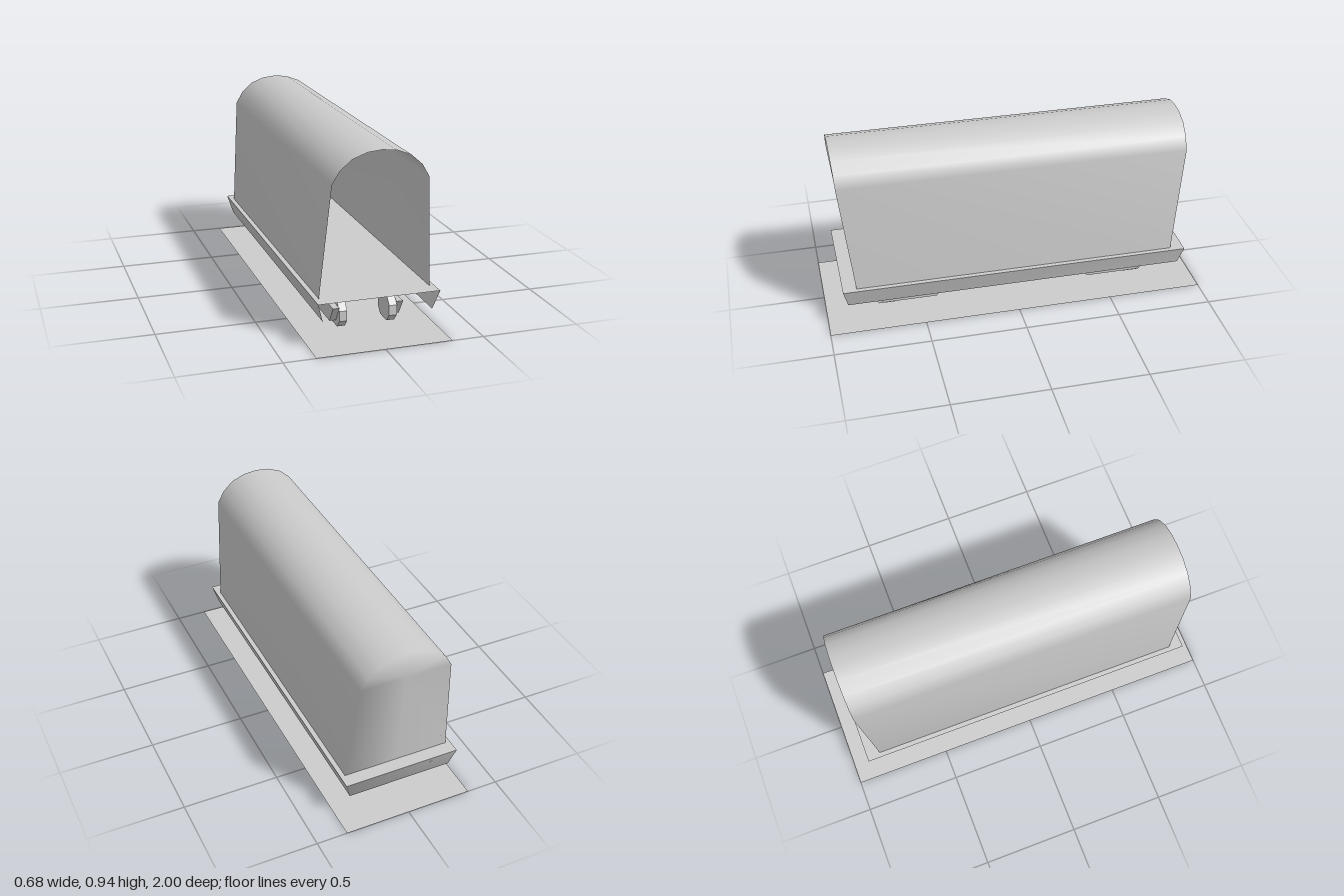
import * as THREE from 'three';

const material = new THREE.MeshStandardMaterial({ color: 0xcccccc, side: THREE.DoubleSide });

function addMesh(parent, name, geometry) {
  const mesh = new THREE.Mesh(geometry, material);
  mesh.name = name;
  parent.add(mesh);
  return mesh;
}

// Smooth strip between two rows of points, with optional extra points and faces
function strip(rowA, rowB, extraPoints = [], extraFaces = []) {
  const n = rowA.length;
  const index = [];
  for (let i = 0; i < n - 1; i++) {
    index.push(i, n + i, i + 1, n + i, n + i + 1, i + 1);
  }
  const geometry = new THREE.BufferGeometry();
  const points = [...rowA, ...rowB, ...extraPoints].flat();
  geometry.setAttribute('position', new THREE.Float32BufferAttribute(points, 3));
  geometry.setIndex([...index, ...extraFaces]);
  geometry.computeVertexNormals();
  return geometry;
}

// Flat sheet lying at height y
function sheet(width, depth, y) {
  return new THREE.PlaneGeometry(width, depth).rotateX(-Math.PI / 2).translate(0, y, 0);
}

// Side profile given as [z, y], extruded from x0 to x1
function sidePlate(profile, x0, x1) {
  const shape = new THREE.Shape(profile.map(([z, y]) => new THREE.Vector2(-z, y)));
  return new THREE.ExtrudeGeometry(shape, { depth: x1 - x0, bevelEnabled: false })
    .rotateY(Math.PI / 2)
    .translate(x0, 0, 0);
}

// Arched shell: open at the front, closed at the back, ends leaning outward
function bodyGeometry() {
  const half = [[0.28, 0.225], [0.237, 0.797], [0.2, 0.86], [0.143, 0.91], [0.07, 0.938]];
  const arch = [...half, [0, 0.945], ...half.map(([x, y]) => [-x, y]).reverse()];
  const endZ = (y) => (y < 0.8 ? 0.845 + (y - 0.225) * 0.11 : 0.908 + (y - 0.797) * 0.06);
  const front = arch.map(([x, y]) => [x, y, endZ(y)]);
  const back = arch.map(([x, y]) => [x, y, -endZ(y)]);

  // Back wall fans out from its middle
  const n = arch.length;
  const centre = 2 * n;
  const foot = centre + 1;
  const faces = [centre, n, foot, centre, foot, 2 * n - 1];
  for (let i = 0; i < n - 1; i++) faces.push(centre, n + i + 1, n + i);
  return strip(front, back, [[0, 0.797, -endZ(0.797)], [0, 0.225, -endZ(0.225)]], faces);
}

// U-shaped sloping skirt, open at the front
function skirtGeometry() {
  const row = (x, y, z) => [[x, y, z], [x, y, -z], [-x, y, -z], [-x, y, z]];
  return strip(row(0.305, 0.228, 0.917), row(0.275, 0.13, 0.893));
}

export function createModel() {
  const model = new THREE.Group();
  model.name = 'wagon';

  addMesh(model, 'groundPlate', sheet(0.68, 2, 0));
  addMesh(model, 'bodyShell', bodyGeometry());
  addMesh(model, 'floor', sheet(0.61, 1.834, 0.228));
  addMesh(model, 'skirt', skirtGeometry());

  // Running gear: a tapered side frame and an eight-sided wheel at each corner
  const frame = [[0.755, 0.13], [0.7, 0.047], [0.415, 0.047], [0.36, 0.13]];
  const wheel = [
    [0.63, 0.022], [0.72, 0.022], [0.755, 0.06], [0.755, 0.112],
    [0.72, 0.15], [0.63, 0.15], [0.595, 0.112], [0.595, 0.06],
  ];
  for (const end of [1, -1]) {
    for (const side of [1, -1]) {
      const gear = new THREE.Group();
      gear.name = (end > 0 ? 'front' : 'back') + (side > 0 ? 'Left' : 'Right') + 'RunningGear';
      addMesh(gear, 'sideFrame', sidePlate(frame, 0.148, 0.18));
      addMesh(gear, 'wheel', sidePlate(wheel, 0.108, 0.148));
      gear.scale.set(side, 1, end);
      model.add(gear);
    }
  }
  return model;
}
